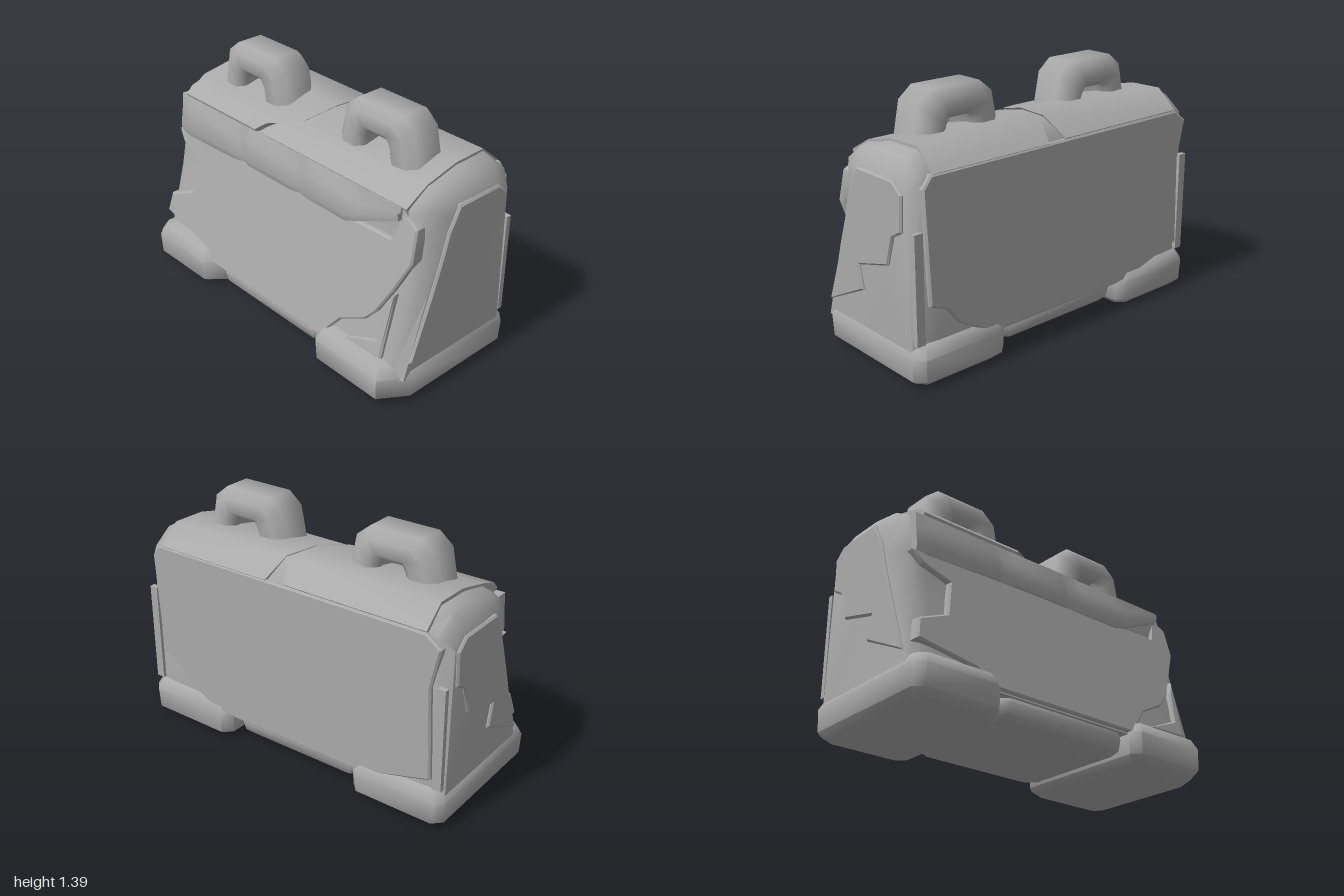
import * as THREE from 'three';
import { toCreasedNormals, mergeVertices } from 'three/addons/utils/BufferGeometryUtils.js';

const concrete = new THREE.MeshStandardMaterial({ color: 0xaaaaaa });
concrete.name = 'concrete grey';

const V = (x, y, z) => new THREE.Vector3(x, y, z);

function part(name, geometry, crease = 0.95) {
  const mesh = new THREE.Mesh(toCreasedNormals(geometry, crease), concrete);
  mesh.name = name;
  return mesh;
}

// Closed solid through a row of rings, with capped ends and outward faces
function loft(rings) {
  const n = rings[0].length;
  const tris = [];
  for (let i = 0; i < rings.length - 1; i++) {
    for (let j = 0; j < n; j++) {
      const k = (j + 1) % n;
      const [a, b, c, d] = [rings[i][j], rings[i][k], rings[i + 1][k], rings[i + 1][j]];
      tris.push([a, b, c], [a, c, d]);
    }
  }
  for (const [ring, flip] of [[rings[0], true], [rings[rings.length - 1], false]]) {
    const mid = ring.reduce((s, p) => s.add(p), V(0, 0, 0)).divideScalar(n);
    for (let j = 0; j < n; j++) {
      const a = ring[j], b = ring[(j + 1) % n];
      tris.push(flip ? [mid, b, a] : [mid, a, b]);
    }
  }
  const volume = tris.reduce((s, [a, b, c]) => s + a.dot(b.clone().cross(c)), 0);
  const points = tris.flatMap(([a, b, c]) => (volume < 0 ? [a, c, b] : [a, b, c]));
  return mergeVertices(new THREE.BufferGeometry().setFromPoints(points));
}

// Slab with a broken outline and softened rim, outer face at z = 0
function slab(outline, depth) {
  const shape = new THREE.Shape(outline.map(([x, y]) => new THREE.Vector2(x, y)));
  const geometry = new THREE.ExtrudeGeometry(shape, {
    depth: depth - 0.01, bevelThickness: 0.01, bevelSize: 0.01, bevelOffset: -0.01, bevelSegments: 1,
  });
  return geometry.translate(0, 0, -depth);
}

// Stacked insets of a plan outline: [height, inset]
function block(outline, levels) {
  const xs = outline.map((p) => p[0]), zs = outline.map((p) => p[1]);
  const cx = (Math.min(...xs) + Math.max(...xs)) / 2, cz = (Math.min(...zs) + Math.max(...zs)) / 2;
  const w = Math.max(...xs) - cx, d = Math.max(...zs) - cz;
  return loft(levels.map(([y, inset]) => outline.map(([x, z]) =>
    V(cx + (x - cx) * (1 - inset / w), y, cz + (z - cz) * (1 - inset / d)))));
}

// Tapered barrier core with rounded end corners; profile points are [z, y]
function makeCore() {
  const middle = [[0.39, 0.15], [0.28, 0.6], [0.235, 0.85], [0.235, 1.05], [0.1, 1.135],
    [-0.1, 1.182], [-0.3, 1.187], [-0.41, 1.08], [-0.41, 0.15]];
  const shoulder = [[0.38, 0.15], [0.27, 0.6], [0.22, 0.85], [0.19, 1.04], [0.08, 1.12],
    [-0.1, 1.15], [-0.3, 1.15], [-0.405, 1.07], [-0.405, 0.15]];
  const end = [[0.34, 0.15], [0.2, 0.6], [0.11, 0.85], [0.06, 1.0], [0.02, 1.04],
    [-0.1, 1.05], [-0.29, 1.05], [-0.36, 1.0], [-0.38, 0.15]];
  const sections = [[-0.985, end], [-0.92, shoulder], [-0.84, middle],
    [0.84, middle], [0.92, shoulder], [0.985, end]];
  return part('barrierCore', loft(sections.map(([x, p]) => p.map(([z, y]) => V(x, y, z)))));
}

// Raised half of the top, ending in a jagged crack: [z, y, crack x]
function makeTopCap(name, edgeX, line) {
  const ring = (pick) => [...line.map((p) => V(pick(p), p[1], p[0])),
    ...[...line].reverse().map((p) => V(pick(p), p[1] - 0.04, p[0] * 0.94))];
  return part(name, loft([ring((p) => p[2]), ring(() => edgeX)]), 0.8);
}

// Overhanging chipped band under the top edge: [x, bottom y, bulge]
function makeBand() {
  const stations = [[-0.91, 0.815, 0], [-0.82, 0.82, 0.02], [-0.42, 0.835, 0.025], [-0.34, 0.84, 0],
    [-0.28, 0.84, 0.025], [0.07, 0.84, 0.025], [0.12, 0.84, 0], [0.2, 0.84, 0.02],
    [0.48, 0.84, 0.025], [0.56, 0.87, 0.005], [0.83, 0.99, 0]];
  return part('chippedBand', loft(stations.map(([x, y, b]) => [
    V(x, 1.055, 0.245), V(x, Math.max(0.98, y + 0.02), 0.25 + b), V(x, y + 0.045, 0.268 + b),
    V(x, y, 0.262 + b * 0.5), V(x, y, 0.18), V(x, 1.055, 0.18)])));
}

// Angular lifting loop swept between an outer and an inner outline
function makeHandle(x) {
  const half = [[0.285, 1.08, 0.1, 1.08], [0.235, 1.33, 0.08, 1.2], [0.155, 1.395, 0.06, 1.24]];
  const path = [...half.map(([a, b, c, d]) => [-a, b, -c, d]), ...half.reverse()];
  const section = [[0, -0.12], [0.3, -0.175], [0.75, -0.18], [1, -0.14],
    [1, 0.05], [0.75, 0.09], [0.3, 0.085], [0, 0.04]];
  const rings = path.map(([ox, oy, ix, iy]) => section.map(([t, z]) =>
    V(x + ox + (ix - ox) * t, oy + (iy - oy) * t, z)));
  return part('liftingLoop', loft(rings), 1.1);
}

export function createModel() {
  const model = new THREE.Group();
  model.name = 'concreteBarrier';
  model.add(makeCore(), makeBand());

  // Top caps either side of the crack
  model.add(makeTopCap('rightTopCap', -0.86, [[0.25, 1.07, -0.25], [0.21, 1.11, -0.2], [0.1, 1.145, -0.03],
    [-0.1, 1.193, 0.02], [-0.3, 1.197, 0.05], [-0.42, 1.09, 0]]));
  model.add(makeTopCap('leftTopCap', 0.86, [[0.24, 1.06, -0.16], [0.1, 1.14, 0],
    [-0.1, 1.187, 0.04], [-0.3, 1.192, 0.07], [-0.425, 1.085, 0.12]]));

  // Sloping front face with broken lower corners
  const front = slab([[-0.93, 0.83], [-0.88, 0.76], [-0.72, 0.7], [-0.76, 0.5], [-0.94, 0.42], [-0.96, 0.3],
    [-0.62, 0.24], [-0.5, 0.16], [0.43, 0.16], [0.56, 0.32], [0.72, 0.4], [0.78, 0.47],
    [0.86, 0.62], [0.94, 0.8], [0.93, 0.97], [0.83, 1.03], [0.78, 0.87]], 0.07);
  front.applyMatrix4(new THREE.Matrix4().set(1, 0, 0, 0, 0, 1, 0, 0, 0, -0.215, 1, 0.445, 0, 0, 0, 1));
  model.add(part('frontFace', front, 0.5));

  // Leftover wedge at the broken front corner
  const wedge = slab([[0.6, 0.24], [0.86, 0.24], [0.87, 0.6], [0.83, 0.5], [0.81, 0.33]], 0.04);
  wedge.applyMatrix4(new THREE.Matrix4().set(1, 0, 0, 0, 0, 1, 0, 0, 0, -0.215, 1, 0.44, 0, 0, 0, 1));
  model.add(part('cornerWedge', wedge, 0.5));

  // Upright back face with chipped corners
  const back = slab([[-0.93, 1.02], [-0.88, 1.085], [0.86, 1.085], [0.95, 1.02], [0.9, 0.8], [0.92, 0.28],
    [0.5, 0.16], [-0.5, 0.16], [-0.72, 0.28], [-0.8, 0.38], [-0.9, 0.42]], 0.04);
  back.rotateY(Math.PI).translate(0, 0, -0.43);
  model.add(part('backFace', back, 0.5));

  for (const side of [-1, 1]) {
    // Unbroken skin left on each end, listed as [-z, y]
    const skin = slab([[-0.31, 0.25], [0, 0.4], [-0.03, 0.53], [0.22, 0.6], [0.27, 0.76], [0.34, 0.8],
      [0.35, 0.99], [0.28, 1.05], [-0.01, 1.05], [-0.08, 0.92], [-0.12, 0.78], [-0.19, 0.58]], 0.03);
    skin.rotateY(Math.PI / 2).translate(1, 0, 0);
    if (side < 0) {
      skin.scale(-1, 1, 1);
      const p = skin.attributes.position;
      for (let i = 0; i < p.count; i += 3) {
        const a = V().fromBufferAttribute(p, i), b = V().fromBufferAttribute(p, i + 1);
        p.setXYZ(i, b.x, b.y, b.z);
        p.setXYZ(i + 1, a.x, a.y, a.z);
      }
    }
    model.add(part('endSkin', skin, 0.6));

    // Narrow upright strip beside the back slot
    const strip = new THREE.BoxGeometry(0.05, 0.58, 0.03).translate(side * 0.955, 0.52, -0.405);
    model.add(part('backCornerStrip', strip));
    model.add(makeHandle(side * 0.477));
  }

  // Feet: rounded blocks running the full depth
  const levels = [[0, 0.05], [0.04, 0.005], [0.16, 0], [0.22, 0.03], [0.247, 0.08]];
  model.add(part('rightFoot', block([[-1, 0.4], [-0.95, 0.45], [-0.53, 0.45], [-0.43, 0.34],
    [-0.43, -0.4], [-0.48, -0.45], [-0.95, -0.45], [-1, -0.4]], levels)));
  model.add(part('leftFoot', block([[1, 0.3], [0.9, 0.45], [0.45, 0.45], [0.405, 0.4],
    [0.405, -0.4], [0.46, -0.45], [0.95, -0.45], [1, -0.4]], levels)));

  // Raised base between the feet
  model.add(part('middleBase', block([[-0.45, 0.33], [-0.4, 0.38], [0.35, 0.38], [0.41, 0.33],
    [0.41, -0.33], [0.35, -0.38], [-0.4, -0.38], [-0.45, -0.33]],
  [[0.04, 0.04], [0.07, 0.01], [0.13, 0], [0.18, 0.02]])));
  return model;
}
